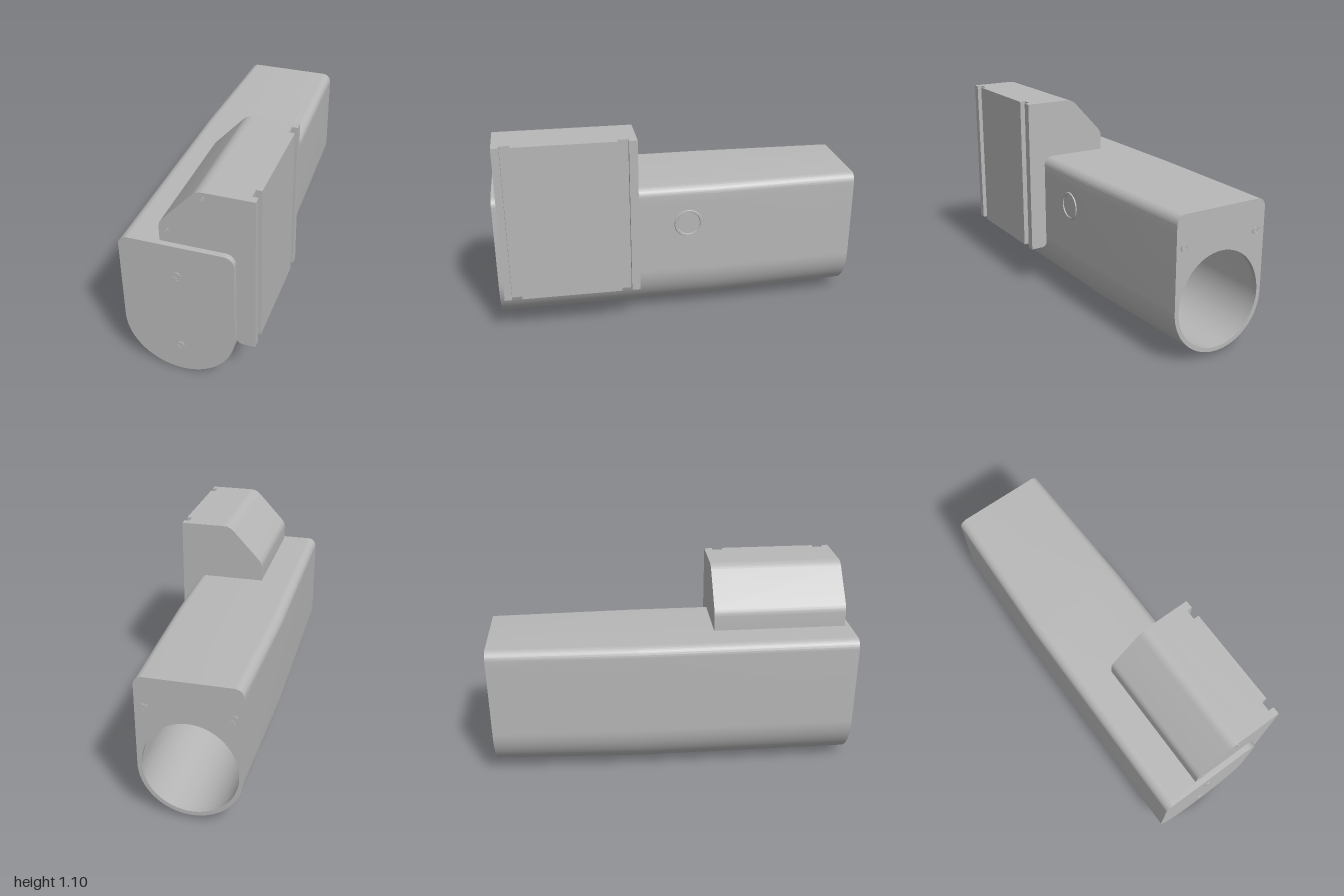
import * as THREE from 'three';
import { toCreasedNormals } from 'three/addons/utils/BufferGeometryUtils.js';

const CX = -0.0475, R = 0.2925, TOP = 0.785, SEAM = 0.695, CORNER = 0.05;
const BACK = -1, COVER = 0.975, BEND = -0.2, END_SCALE = 0.915;

export function createModel() {
  const model = new THREE.Group();
  const grey = new THREE.MeshStandardMaterial({ color: 0xb8b8b8 });
  grey.name = 'grey plastic';

  const add = (name, geo, parent = model) => {
    const mesh = new THREE.Mesh(geo, grey);
    mesh.name = name;
    parent.add(mesh);
    return mesh;
  };
  const extrude = (shape, z0, z1, steps = 1) =>
    new THREE.ExtrudeGeometry(shape, { depth: z1 - z0, steps, bevelEnabled: false, curveSegments: 32 })
      .translate(0, 0, z0);
  const smooth = (geo) => toCreasedNormals(geo, 0.5);

  // Narrow the tail of the housing about the axis of its round belly
  const taper = (geo, z0, z1) => {
    const p = geo.attributes.position;
    for (let i = 0; i < p.count; i++) {
      let z = p.getZ(i);
      if (z0 < BEND && z1 > BEND && Math.abs(z - (z0 + z1) / 2) < 1e-3) z = BEND;
      const t = Math.max(0, (BEND - z) / (BEND - BACK));
      const s = 1 - (1 - END_SCALE) * t;
      const y = p.getY(i);
      p.setXYZ(i, CX + (p.getX(i) - CX) * s, y < R ? R + (y - R) * s : y, z);
    }
    return smooth(geo);
  };

  // U outline closed by a straight top, or by rounded top corners
  const uShape = (top, corner) => {
    const s = new THREE.Shape();
    s.moveTo(CX - R, R);
    s.absarc(CX, R, R, Math.PI, Math.PI * 2, false);
    s.lineTo(CX + R, top - corner);
    if (corner) s.absarc(CX + R - corner, top - corner, corner, 0, Math.PI / 2, false);
    s.lineTo(CX - R + corner, top);
    if (corner) s.absarc(CX - R + corner, top - corner, corner, Math.PI / 2, Math.PI, false);
    s.closePath();
    return s;
  };

  // Trough-shaped housing
  const inner = 0.272;
  const trough = new THREE.Shape();
  trough.moveTo(CX - R, SEAM);
  trough.lineTo(CX - R, R);
  trough.absarc(CX, R, R, Math.PI, Math.PI * 2, false);
  trough.lineTo(CX + R, SEAM);
  trough.lineTo(CX + inner, SEAM);
  trough.lineTo(CX + inner, R);
  trough.absarc(CX, R, inner, Math.PI * 2, Math.PI, true);
  trough.lineTo(CX - inner, SEAM);
  trough.closePath();
  add('housing', taper(extrude(trough, BACK + 0.03, COVER, 2), BACK + 0.03, COVER));

  // Back wall with the round opening
  const wall = uShape(SEAM, 0);
  wall.holes.push(new THREE.Path().absarc(CX, R, 0.268, 0, Math.PI * 2, true));
  add('backWall', taper(extrude(wall, BACK, BACK + 0.03), BACK, BACK + 0.03));

  // Lid with rounded long edges
  const lid = new THREE.Shape();
  lid.moveTo(CX - R, SEAM);
  lid.lineTo(CX + R, SEAM);
  lid.lineTo(CX + R, TOP - CORNER);
  lid.absarc(CX + R - CORNER, TOP - CORNER, CORNER, 0, Math.PI / 2, false);
  lid.lineTo(CX - R + CORNER, TOP);
  lid.absarc(CX - R + CORNER, TOP - CORNER, CORNER, Math.PI / 2, Math.PI, false);
  lid.closePath();
  add('lid', taper(extrude(lid, BACK, COVER, 2), BACK, COVER));

  // Front cover plate
  add('frontCover', smooth(extrude(uShape(TOP, CORNER), COVER, 1)));

  // Side mount that wraps over the lid
  const mount = new THREE.Group();
  mount.name = 'sideMount';
  model.add(mount);
  const Z0 = 0.235, Z1 = 0.97;
  const block = new THREE.Shape();
  block.moveTo(0.31, 0.235);
  block.lineTo(0.31, 1.1);
  block.lineTo(0.15, 1.1);
  block.lineTo(-0.06, 0.87);
  block.quadraticCurveTo(-0.07, 0.857, -0.07, 0.84);
  block.lineTo(-0.07, 0.77);
  block.lineTo(0.2, 0.77);
  block.lineTo(0.243, 0.72);
  block.lineTo(0.243, 0.27);
  block.quadraticCurveTo(0.246, 0.237, 0.275, 0.235);
  block.closePath();
  add('mountBlock', smooth(extrude(block, Z0, Z1)), mount);

  const strip = new THREE.Shape();
  strip.moveTo(-0.07, 0.77);
  strip.lineTo(-0.07, 0.84);
  strip.quadraticCurveTo(-0.07, 0.857, -0.06, 0.87);
  strip.lineTo(0.15, 1.1);
  strip.lineTo(0.095, 1.1);
  strip.quadraticCurveTo(0.06, 1.1, 0.037, 1.076);
  strip.lineTo(-0.115, 0.912);
  strip.quadraticCurveTo(-0.135, 0.89, -0.135, 0.86);
  strip.lineTo(-0.135, 0.77);
  strip.closePath();
  add('mountCover', smooth(extrude(strip, Z0, Z1)), mount);

  // Raised rails leave two upright grooves
  for (const [a, b] of [[Z0, 0.28], [0.335, 0.875], [0.93, Z1]]) {
    add('mountRail', new THREE.BoxGeometry(0.03, 0.865, b - a).translate(0.325, 0.6675, (a + b) / 2), mount);
  }

  // Socket screws: rim and head with a hexagonal recess
  const screw = (x, y, z, r, back = false) => {
    const g = new THREE.Group();
    g.name = 'screw';
    const disc = new THREE.Shape().absarc(0, 0, r * 0.8, 0, Math.PI * 2, false);
    const hex = new THREE.Path();
    for (let i = 0; i < 6; i++) {
      const a = -i * Math.PI / 3;
      hex[i ? 'lineTo' : 'moveTo'](Math.cos(a) * r * 0.45, Math.sin(a) * r * 0.45);
    }
    hex.closePath();
    disc.holes.push(hex);
    add('screwHead', smooth(extrude(disc, 0, 0.003)), g);
    const rim = new THREE.Shape().absarc(0, 0, r, 0, Math.PI * 2, false);
    rim.holes.push(new THREE.Path().absarc(0, 0, r * 0.86, 0, Math.PI * 2, true));
    add('screwRim', smooth(extrude(rim, 0, 0.002)), g);
    g.position.set(x, y, z);
    if (back) g.rotation.y = Math.PI;
    model.add(g);
  };
  screw(CX, 0.61, 1, 0.026);
  screw(CX, 0.16, 1, 0.026);
  screw(0.09, 1.066, Z1, 0.012);
  screw(-0.095, 0.85, Z1, 0.012);
  for (const side of [-1, 1]) screw(CX + side * 0.22, 0.62, BACK, 0.024, true);

  // Round button in a raised ring on the left side
  const ring = [[0.063, 0], [0.066, 0.006], [0.076, 0.006], [0.079, 0]].map(([x, y]) => new THREE.Vector2(x, y));
  const button = new THREE.Group();
  button.name = 'button';
  const ringGeo = new THREE.LatheGeometry(ring.reverse(), 48);
  const ringMesh = add('buttonRing', smooth(ringGeo.toNonIndexed()), button);
  ringMesh.material = grey;
  grey.side = THREE.DoubleSide;
  add('buttonCap', new THREE.CylinderGeometry(0.062, 0.062, 0.003, 48), button);
  button.rotation.z = -Math.PI / 2;
  button.position.set(CX + R, 0.57, -0.05);
  model.add(button);

  return model;
}
